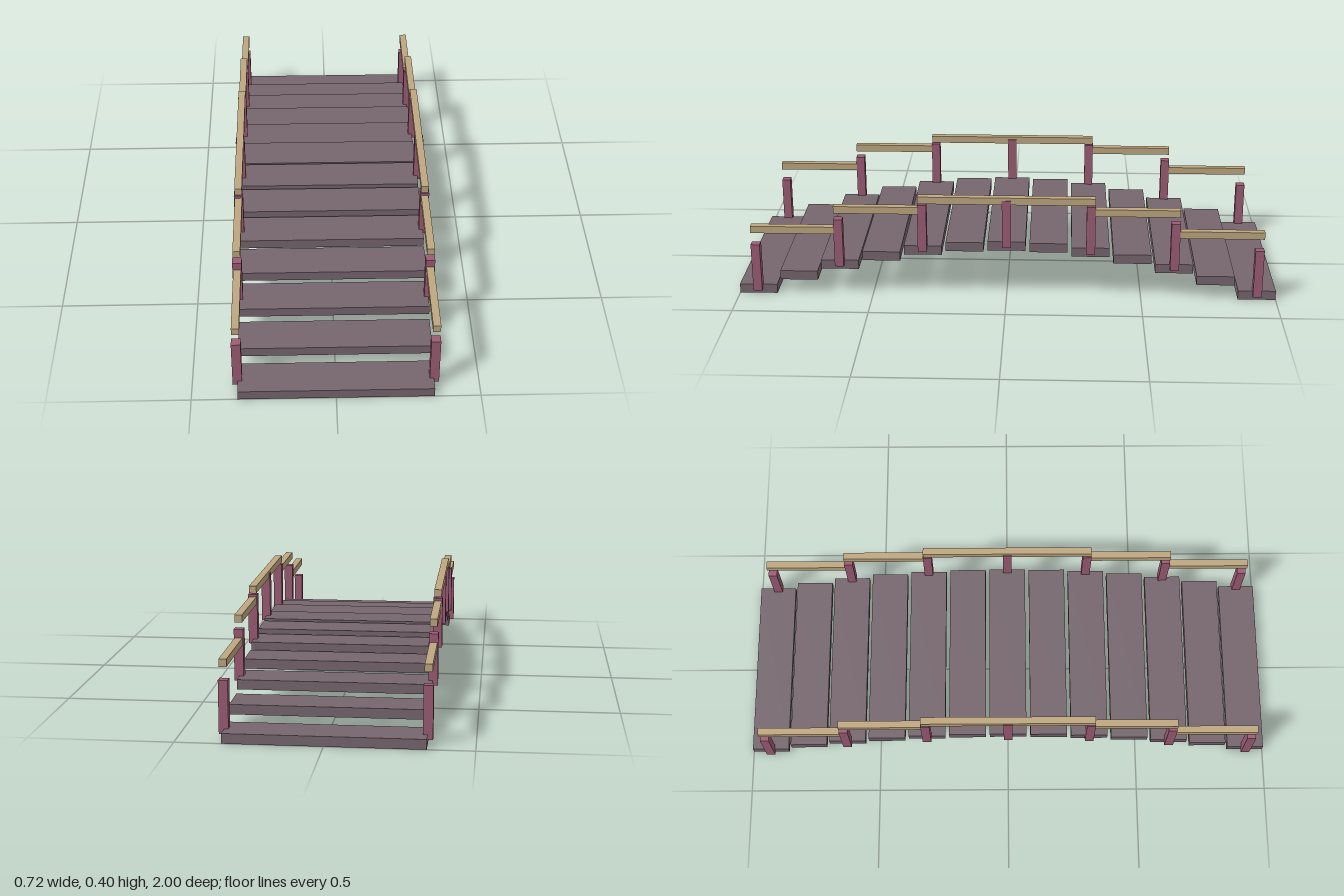
import * as THREE from 'three';

const plankMat = new THREE.MeshStandardMaterial({ name: 'greyPlankWood', color: 0x76666e });
const postMat = new THREE.MeshStandardMaterial({ name: 'redPostWood', color: 0x9c5c74 });
const railMat = new THREE.MeshStandardMaterial({ name: 'paleRailWood', color: 0xbfa780 });

const STEP = 0.155, HALF = 6, THICK = 0.035, RISE = 0.185, POST_H = 0.185, SIDE_X = 0.3415;

// Height of the plank centre along the arched deck
const deckY = z => THICK / 2 + RISE * (1 - (z / (STEP * HALF)) ** 2);

function addBox(parent, name, mat, size, pos) {
  const mesh = new THREE.Mesh(new THREE.BoxGeometry(...size), mat);
  mesh.name = name;
  mesh.position.set(...pos);
  parent.add(mesh);
}

export function createModel() {
  const bridge = new THREE.Group();
  bridge.name = 'archedFootbridge';

  // Deck planks stepping over the arch
  const deck = new THREE.Group();
  deck.name = 'deck';
  bridge.add(deck);
  for (let i = -HALF; i <= HALF; i++) {
    const z = i * STEP;
    addBox(deck, 'plank', plankMat, [0.68, THICK, 0.14], [0, deckY(z), z]);
  }

  for (const side of [-1, 1]) {
    const railing = new THREE.Group();
    railing.name = side > 0 ? 'leftRailing' : 'rightRailing';
    bridge.add(railing);
    const x = side * SIDE_X;

    // Posts on every second plank
    for (let i = -HALF; i <= HALF; i += 2) {
      const z = i * STEP;
      addBox(railing, 'post', postMat, [0.033, POST_H, 0.033], [x, deckY(z) + POST_H / 2, z]);
    }

    // Level handrail pieces between neighbouring posts
    for (let i = -HALF; i < HALF; i += 2) {
      const z0 = i * STEP, z1 = (i + 2) * STEP;
      const y = (deckY(z0) + deckY(z1)) / 2 + POST_H + 0.0075;
      addBox(railing, 'handrail', railMat, [0.027, 0.027, 0.34], [x, y, (z0 + z1) / 2]);
    }
  }
  return bridge;
}
